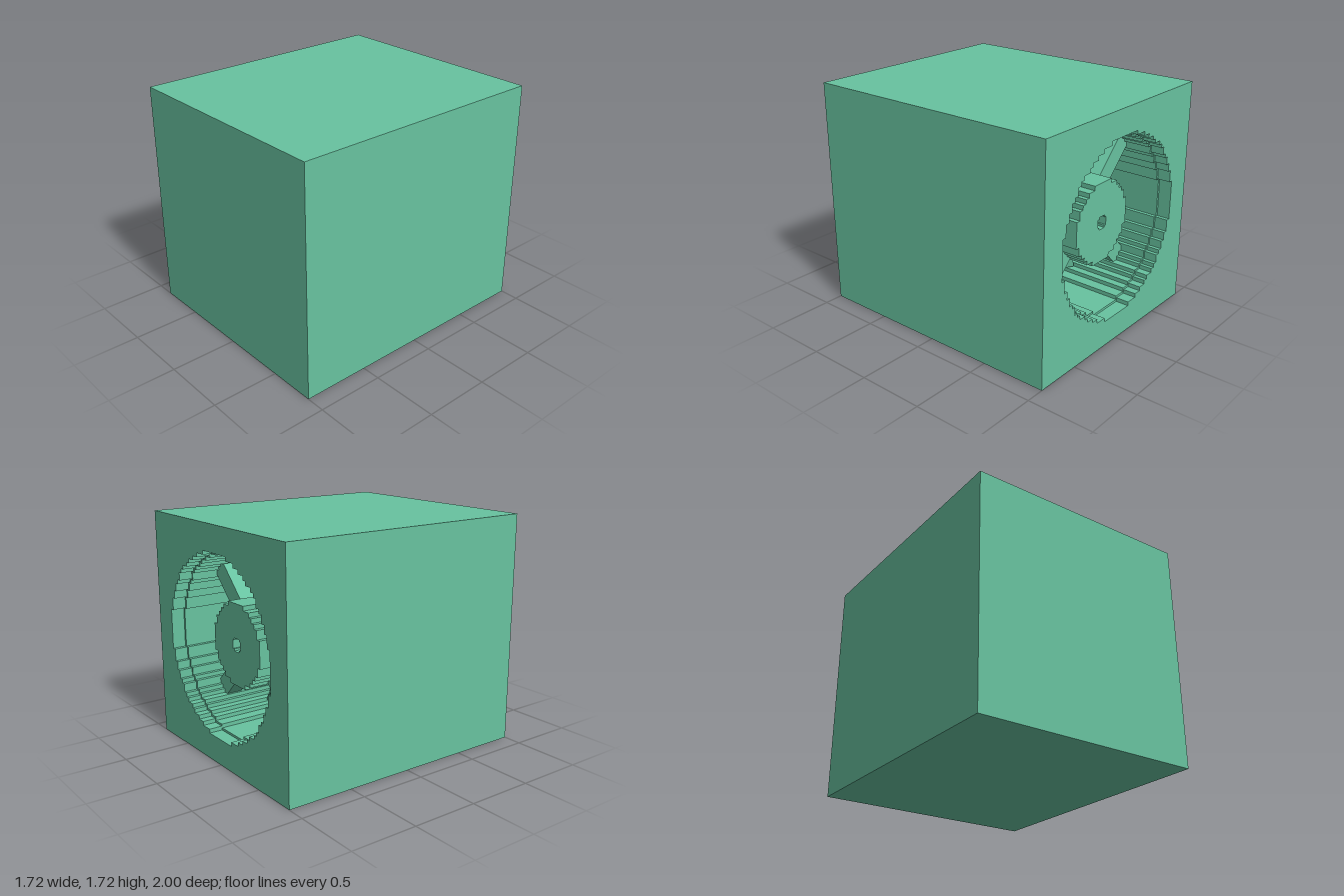
import * as THREE from 'three';

const HALF = 0.86, BACK = -1, DEPTH = 1.2;

// Stair-stepped circle outline, counter-clockwise
function steppedCircle(radius, cell) {
  const quarter = [];
  const n = Math.round(radius / cell);
  const c = radius / n;
  let last = 0;
  for (let i = n; i > 0; i--) {
    const x = i * c, m = (i - 0.5) * c;
    const y = Math.round(Math.sqrt(radius * radius - m * m) / c) * c;
    if (y - last < c / 2) continue;
    quarter.push([x, last], [x, y]);
    last = y;
  }
  const points = [];
  for (let k = 0; k < 4; k++) {
    for (const [x, y] of quarter.slice(1)) {
      const p = [[x, y], [-y, x], [-x, -y], [y, -x]][k];
      points.push(new THREE.Vector2(...p));
    }
    // inner corner that leads into the next quarter
    const top = quarter[quarter.length - 1];
    if (top[0] > c * 1.5) {
      const p = [[0, top[1]], [-top[1], 0], [0, -top[1]], [top[1], 0]][k];
      points.push(new THREE.Vector2(...p));
    }
  }
  return points;
}

// Extrude an outline with one hole between two depths behind the back face
function ring(outline, hole, from, to) {
  const shape = new THREE.Shape(outline);
  shape.holes.push(new THREE.Path(hole));
  const geometry = new THREE.ExtrudeGeometry(shape, { depth: to - from, bevelEnabled: false });
  return geometry.translate(0, 0, BACK + from);
}

export function createModel() {
  const model = new THREE.Group();
  model.name = 'fanHousing';
  const green = new THREE.MeshStandardMaterial({ color: 0x68c3a0 });
  green.name = 'green';

  const core = new THREE.Group();
  core.name = 'housing';
  core.position.y = HALF;
  model.add(core);

  const add = (name, geometry, parent = core) => {
    const mesh = new THREE.Mesh(geometry, green);
    mesh.name = name;
    parent.add(mesh);
    return mesh;
  };

  // Block with a round bore, closed by a solid front
  const square = [[-1, -1], [1, -1], [1, 1], [-1, 1]]
    .map(([x, y]) => new THREE.Vector2(x * HALF, y * HALF));
  add('boredBody', ring(square, steppedCircle(0.665, 0.03), 0, DEPTH));
  const frontDepth = 2 - DEPTH;
  add('solidFront', new THREE.BoxGeometry(2 * HALF, 2 * HALF, frontDepth))
    .position.z = 1 - frontDepth / 2;

  // Slightly narrower lining behind the rim
  add('boreLining', ring(steppedCircle(0.72, 0.03), steppedCircle(0.648, 0.03), 0.1, DEPTH));

  // Hub with a shaft hole
  add('hub', ring(steppedCircle(0.3, 0.033), steppedCircle(0.048, 0.016), 0.155, DEPTH));

  // Diagonal struts between hub and bore
  for (let i = 0; i < 4; i++) {
    const pivot = new THREE.Group();
    pivot.name = 'strutPivot';
    pivot.rotation.z = Math.PI / 4 + i * Math.PI / 2;
    core.add(pivot);
    add('strut', new THREE.BoxGeometry(0.42, 0.14, 0.12), pivot)
      .position.set(0.47, 0, BACK + 0.36);
  }

  // Pitched blades deeper in the bore
  const blades = 7;
  for (let i = 0; i < blades; i++) {
    const pivot = new THREE.Group();
    pivot.name = 'bladePivot';
    pivot.rotation.z = (i / blades) * Math.PI * 2;
    core.add(pivot);
    const blade = add('blade', new THREE.BoxGeometry(0.34, 0.4, 0.035), pivot);
    blade.position.set(0.45, 0, BACK + 0.72);
    blade.rotation.x = 0.75;
  }
  return model;
}
